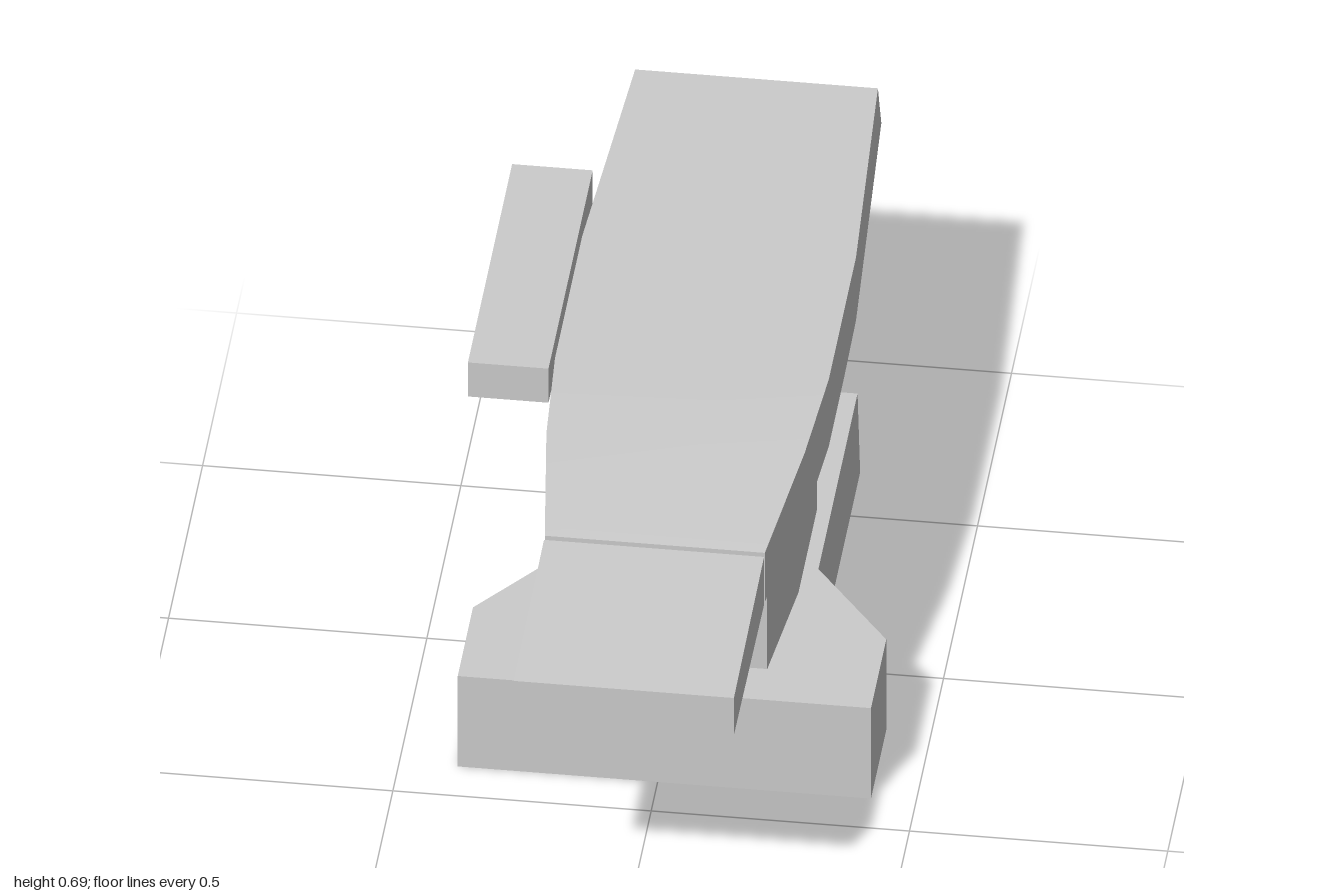
import * as THREE from 'three';
import { toCreasedNormals } from 'three/addons/utils/BufferGeometryUtils.js';

const material = new THREE.MeshStandardMaterial({ color: 0xcccccc });
const CENTRE = 0.013; // mirror plane of the main parts

function part(name, geometry, crease = 0.8) {
  const mesh = new THREE.Mesh(toCreasedNormals(geometry, crease), material);
  mesh.name = name;
  return mesh;
}

// Vertical prism from a half outline [half width, z], front to back
function prism(outline, y0, y1) {
  const left = outline.map(([w, z]) => new THREE.Vector2(CENTRE + w, -z));
  const right = outline.map(([w, z]) => new THREE.Vector2(CENTRE - w, -z)).reverse();
  const geometry = new THREE.ExtrudeGeometry(new THREE.Shape([...left, ...right]), {
    depth: y1 - y0, bevelEnabled: false,
  });
  return geometry.rotateX(-Math.PI / 2).translate(0, y0, 0);
}

// Loft of rectangular sections, front to back: [half width, bottom, top, z bottom, z top]
function loft(sections) {
  const pos = [];
  const index = [];
  for (const [w, b, t, zb, zt = zb] of sections) {
    pos.push(CENTRE - w, b, zb, CENTRE + w, b, zb, CENTRE + w, t, zt, CENTRE - w, t, zt);
  }
  for (let s = 0; s < sections.length - 1; s++) {
    for (let k = 0; k < 4; k++) {
      const a = s * 4 + k, b = s * 4 + (k + 1) % 4;
      index.push(a, a + 4, b, b, a + 4, b + 4);
    }
  }
  const e = (sections.length - 1) * 4;
  index.push(0, 1, 2, 0, 2, 3, e, e + 2, e + 1, e, e + 3, e + 2);
  const geometry = new THREE.BufferGeometry();
  geometry.setAttribute('position', new THREE.Float32BufferAttribute(pos, 3));
  geometry.setIndex(index);
  return geometry;
}

export function createModel() {
  const group = new THREE.Group();
  group.name = 'turret';

  // Flared base whose rear face leans forward towards the top
  const base = prism([[0.4, 0.405], [0.4, 0.18], [0.241, -0.03], [0.241, -0.643]], 0, 0.215);
  const p = base.attributes.position;
  for (let i = 0; i < p.count; i++) {
    if (p.getZ(i) < -0.6 && p.getY(i) > 0.1) p.setZ(i, -0.605);
  }
  group.add(part('base', base));

  // Pillar, tapering towards the front
  group.add(part('pillar', prism([[0.186, 0.305], [0.213, 0.05], [0.213, -0.225]], 0.215, 0.54)));

  // Long upper body
  group.add(part('body', loft([
    [0.213, 0.552, 0.668, 0.545],
    [0.25, 0.531, 0.688, 0.24],
    [0.265, 0.531, 0.69, 0],
    [0.265, 0.531, 0.69, -0.22],
    [0.265, 0.54, 0.69, -0.4],
    [0.235, 0.571, 0.69, -1, -0.95],
  ]), 0.4));

  // Separate nose block
  group.add(part('nose', loft([
    [0.213, 0.565, 0.653, 1],
    [0.213, 0.553, 0.667, 0.557],
  ])));

  // Side rail
  const rail = new THREE.BoxGeometry(0.156, 0.081, 0.65).translate(-0.338, 0.649, -0.29);
  group.add(part('sideRail', rail));

  return group;
}
